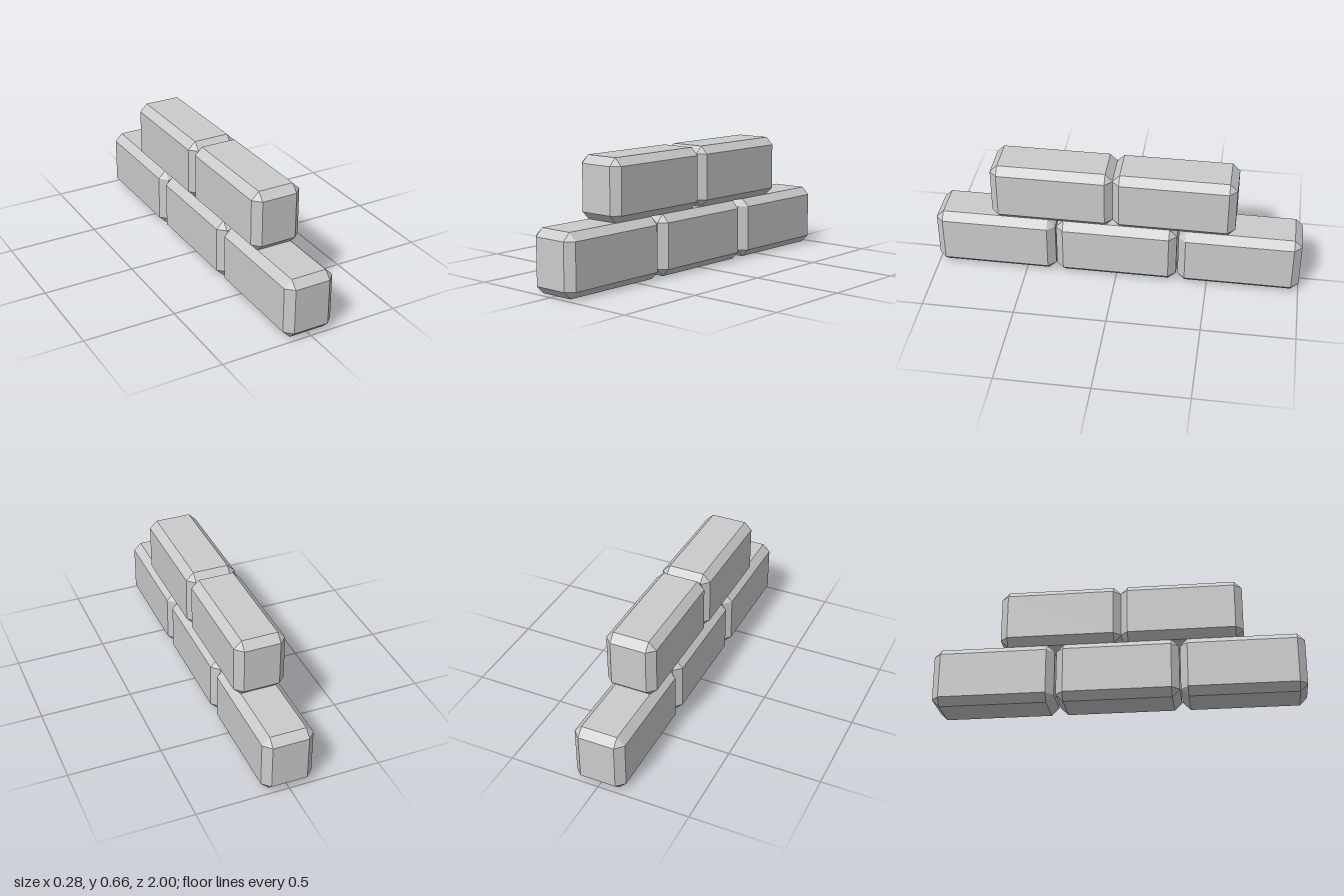
import * as THREE from 'three';
import { ConvexGeometry } from 'three/addons/geometries/ConvexGeometry.js';

const WIDTH = 0.277, HEIGHT = 0.331, LENGTH = 0.662, BEVEL = 0.041;

// Box with every edge chamfered: each corner becomes three points
function chamferedBox(w, h, l, b) {
  const points = [];
  for (const sx of [-1, 1]) for (const sy of [-1, 1]) for (const sz of [-1, 1]) {
    const x = w / 2, y = h / 2, z = l / 2;
    points.push(
      new THREE.Vector3(sx * x, sy * (y - b), sz * (z - b)),
      new THREE.Vector3(sx * (x - b), sy * y, sz * (z - b)),
      new THREE.Vector3(sx * (x - b), sy * (y - b), sz * z),
    );
  }
  return new ConvexGeometry(points);
}

export function createModel() {
  const wall = new THREE.Group();
  wall.name = 'brickWall';
  const material = new THREE.MeshStandardMaterial({ color: 0xcccccc, flatShading: true });
  const geometry = chamferedBox(WIDTH, HEIGHT, LENGTH, BEVEL);

  // Two staggered courses, listed by the z centre of each brick
  const courses = [
    { name: 'lowerBrick', centres: [0.669, 0.002, -0.669] },
    { name: 'upperBrick', centres: [0.35, -0.307] },
  ];
  courses.forEach(({ name, centres }, row) => {
    centres.forEach((z, i) => {
      const brick = new THREE.Mesh(geometry, material);
      brick.name = name + (i + 1);
      brick.position.set(0, HEIGHT * (row + 0.5), z);
      wall.add(brick);
    });
  });
  return wall;
}
